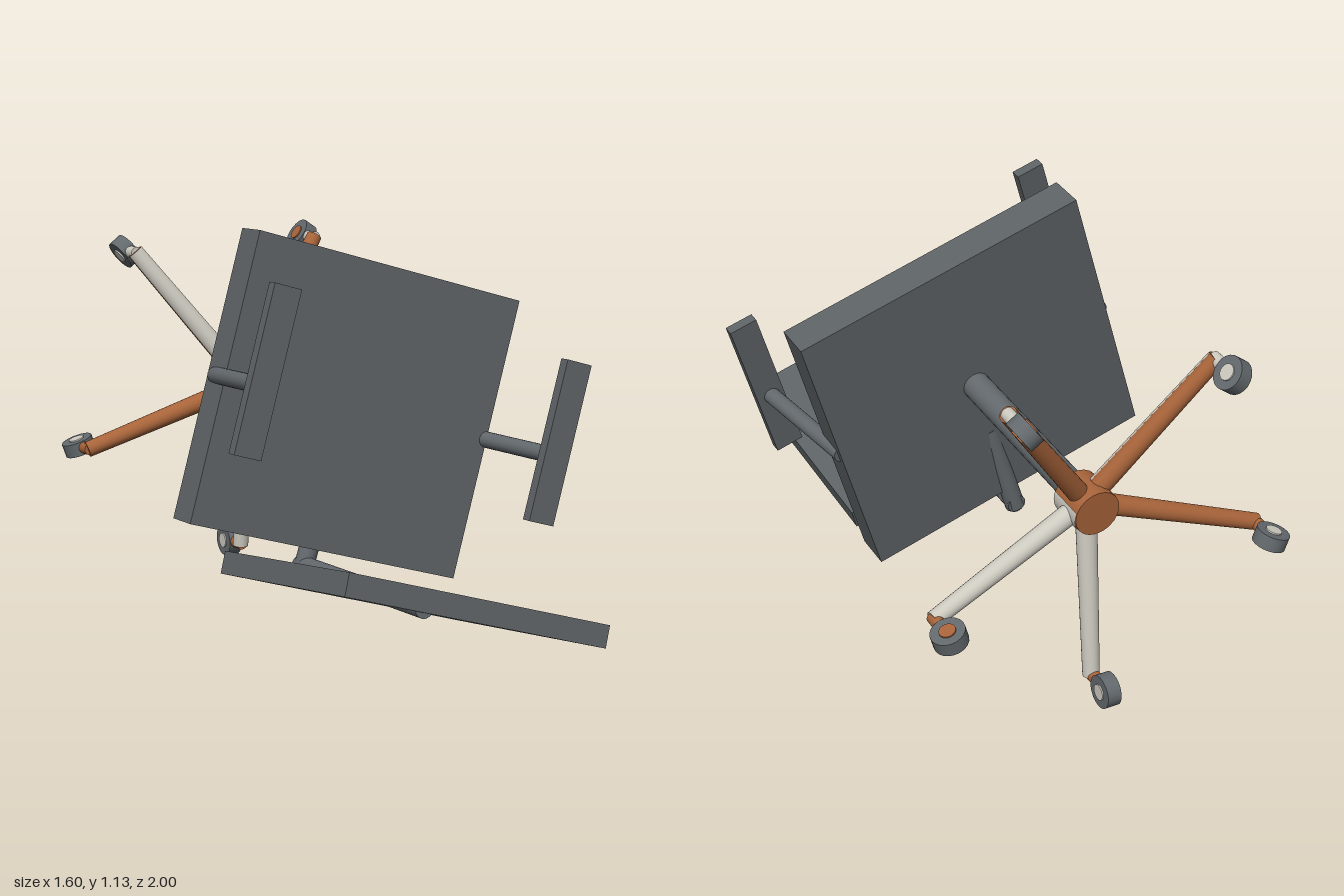
import * as THREE from 'three';

export function createModel() {
  const mat = (name, color) => {
    const m = new THREE.MeshStandardMaterial({ color });
    m.name = name;
    return m;
  };
  const grey = mat('grey upholstery', 0x5d6265);
  const metal = mat('grey metal', 0x63696d);
  const brown = mat('copper brown', 0xa8643a);
  const white = mat('off white', 0xcdcac0);

  const model = new THREE.Group();
  model.name = 'swivelChair';

  // The chair is built upright in its own frame, with the backrest at +z, then tipped over.
  const chair = new THREE.Group();
  chair.name = 'tippedChair';
  const side = new THREE.Vector3(0.805, -0.309, -0.507).normalize();
  const up = new THREE.Vector3(0.5555, 0.093, 0.826);
  up.addScaledVector(side, -up.dot(side)).normalize();
  const back = new THREE.Vector3().crossVectors(side, up);
  chair.quaternion.setFromRotationMatrix(new THREE.Matrix4().makeBasis(side, up, back));
  chair.position.set(0.11, 0.63, 0.0145); // middle of the seat's top
  model.add(chair);

  const put = (parent, name, geometry, material, x = 0, y = 0, z = 0) => {
    const mesh = new THREE.Mesh(geometry, material);
    mesh.name = name;
    mesh.position.set(x, y, z);
    parent.add(mesh);
    return mesh;
  };
  // Round bar between two points; start and sweep limit it to a part of its round
  const rod = (parent, name, p, q, r0, r1, material, start = 0, sweep = Math.PI * 2) => {
    const a = new THREE.Vector3(...p), b = new THREE.Vector3(...q);
    const d = b.clone().sub(a);
    const open = sweep < 6;
    const geometry = new THREE.CylinderGeometry(r1, r0, d.length(), 20, 1, open, start, sweep);
    const mesh = put(parent, name, geometry, material, ...a.add(b).multiplyScalar(0.5));
    mesh.quaternion.setFromUnitVectors(new THREE.Vector3(0, 1, 0), d.normalize());
    return mesh;
  };
  const rad = THREE.MathUtils.degToRad;

  // Seat and backrest
  put(chair, 'seat', new THREE.BoxGeometry(0.845, 0.106, 0.802), grey, 0, -0.053, 0);
  const rest = put(chair, 'backrest', new THREE.BoxGeometry(0.78, 0.65, 0.06), grey, 0, 0.494, 0.443);
  rest.rotation.x = rad(-4.8);

  // L-shaped backrest support
  rod(chair, 'backSupportBar', [0, -0.08, 0.18], [0, -0.1, 0.475], 0.028, 0.028, metal);
  rod(chair, 'backSupportPost', [0, -0.12, 0.456], [0, 0.56, 0.456], 0.027, 0.027, metal);

  // Armrests
  for (const s of [-1, 1]) {
    rod(chair, 'armPost', [s * 0.412, -0.08, 0], [s * 0.459, 0.285, 0], 0.023, 0.023, metal);
    put(chair, 'armPad', new THREE.BoxGeometry(0.08, 0.032, 0.45), grey, s * 0.461, 0.29, -0.037);
  }

  // Stem and hub, with a pale face on part of the hub
  rod(chair, 'stem', [0, -0.66, 0], [0, -0.05, 0], 0.039, 0.039, metal);
  rod(chair, 'hub', [0, -0.755, 0], [0, -0.645, 0], 0.064, 0.064, brown);
  rod(chair, 'hubPaleFace', [0, -0.754, 0], [0, -0.646, 0], 0.066, 0.066, white, rad(-15), rad(140));

  // Five legs with casters: colours of leg, pin and wheel cap
  const legs = [
    [white, brown, white],
    [white, brown, brown],
    [brown, white, brown],
    [brown, white, white],
    [brown, brown, white],
  ];
  legs.forEach(([legMat, pinMat, capMat], i) => {
    const leg = new THREE.Group();
    leg.name = 'baseLeg';
    leg.rotation.y = rad(18 + 72 * i);
    chair.add(leg);
    const root = [0, -0.7, 0.03], tip = [0, -0.785, 0.505];
    rod(leg, 'legBar', root, tip, 0.029, 0.023, legMat);
    // One leg has a pale upper face
    if (i === 3) rod(leg, 'legPaleFace', root, tip, 0.031, 0.025, white, rad(105), rad(150));
    rod(leg, 'casterPin', [0, -0.775, 0.5], [0, -0.85, 0.5], 0.018, 0.018, pinMat);
    rod(leg, 'wheel', [-0.02, -0.862, 0.5], [0.02, -0.862, 0.5], 0.046, 0.046, metal);
    rod(leg, 'wheelCap', [-0.024, -0.862, 0.5], [0.024, -0.862, 0.5], 0.022, 0.022, capMat);
  });

  return model;
}
